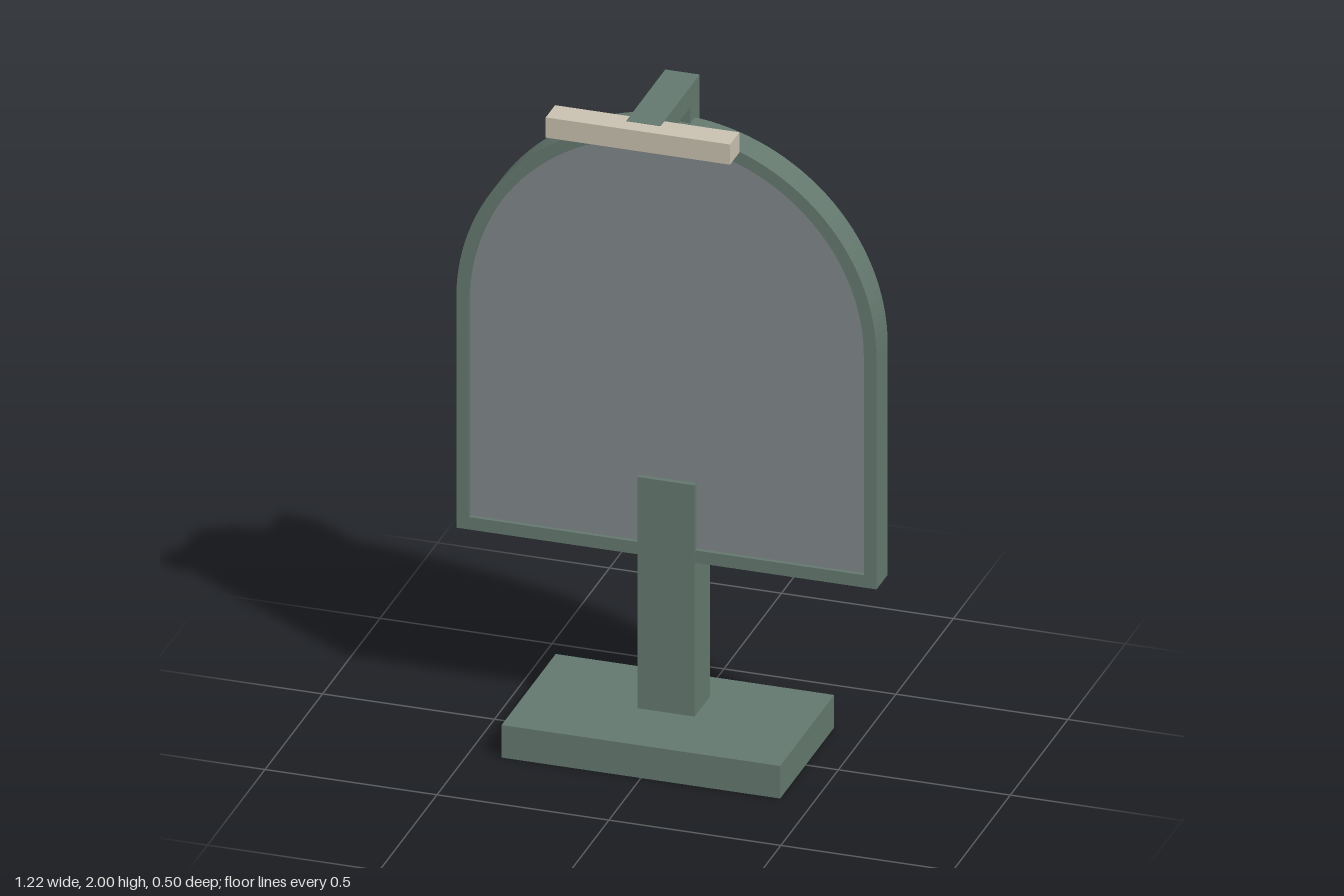
import * as THREE from 'three';

const material = (name, color) => {
  const m = new THREE.MeshStandardMaterial({ color });
  m.name = name;
  return m;
};

// Arched outline: straight sides and base, half-round top.
function trace(path, radius, bottom, springY) {
  path.moveTo(-radius, bottom);
  path.lineTo(radius, bottom);
  path.lineTo(radius, springY);
  path.absarc(0, springY, radius, 0, Math.PI, false);
  path.closePath();
  return path;
}

export function createModel() {
  const green = material('painted green', 0x64786e);
  const glass = material('mirror grey', 0x80868b);
  const dark = material('dark backing', 0x343940);
  const cream = material('lamp cream', 0xc9c0b0);

  const group = new THREE.Group();
  group.name = 'tableMirror';

  const add = (name, geometry, mat) => {
    const mesh = new THREE.Mesh(geometry, mat);
    mesh.name = name;
    group.add(mesh);
    return mesh;
  };
  // Box given by its minimum and maximum corners.
  const box = (name, mat, [x0, y0, z0], [x1, y1, z1]) => {
    const mesh = add(name, new THREE.BoxGeometry(x1 - x0, y1 - y0, z1 - z0), mat);
    mesh.position.set((x0 + x1) / 2, (y0 + y1) / 2, (z0 + z1) / 2);
  };
  // Arched or profiled slab from z0 to z1.
  const slab = (name, mat, shape, z0, z1) => {
    const geometry = new THREE.ExtrudeGeometry(shape, {
      depth: z1 - z0, bevelEnabled: false, curveSegments: 32,
    });
    return add(name, geometry.translate(0, 0, z0), mat);
  };

  // Stand
  box('base', green, [-0.405, 0, -0.248], [0.405, 0.1, 0.222]);
  box('post', green, [-0.083, 0.1, -0.132], [0.083, 0.81, 0.003]);

  // Arched frame with the mirror set into it
  const springY = 1.28;
  const frame = trace(new THREE.Shape(), 0.611, 0.571, springY);
  frame.holes.push(trace(new THREE.Path(), 0.574, 0.609, springY));
  slab('frame', green, frame, -0.097, 0);
  const pane = trace(new THREE.Shape(), 0.574, 0.609, springY);
  slab('mirror', glass, pane, -0.05, -0.012);
  slab('backing', dark, pane, -0.092, -0.05);

  // Bent lamp arm: side profile in (-z, y), extruded across x
  const profile = new THREE.Shape([
    [-0.2, 2], [-0.2, 1.938], [0.055, 1.938], [0.055, 1.755], [0.14, 1.755], [0.14, 2],
  ].map(([a, y]) => new THREE.Vector2(a, y)));
  slab('lampArm', green, profile, -0.05, 0.05).rotation.y = Math.PI / 2;

  // Lamp bar
  box('lampBar', cream, [-0.268, 1.937, 0.167], [0.268, 1.999, 0.248]);

  return group;
}
